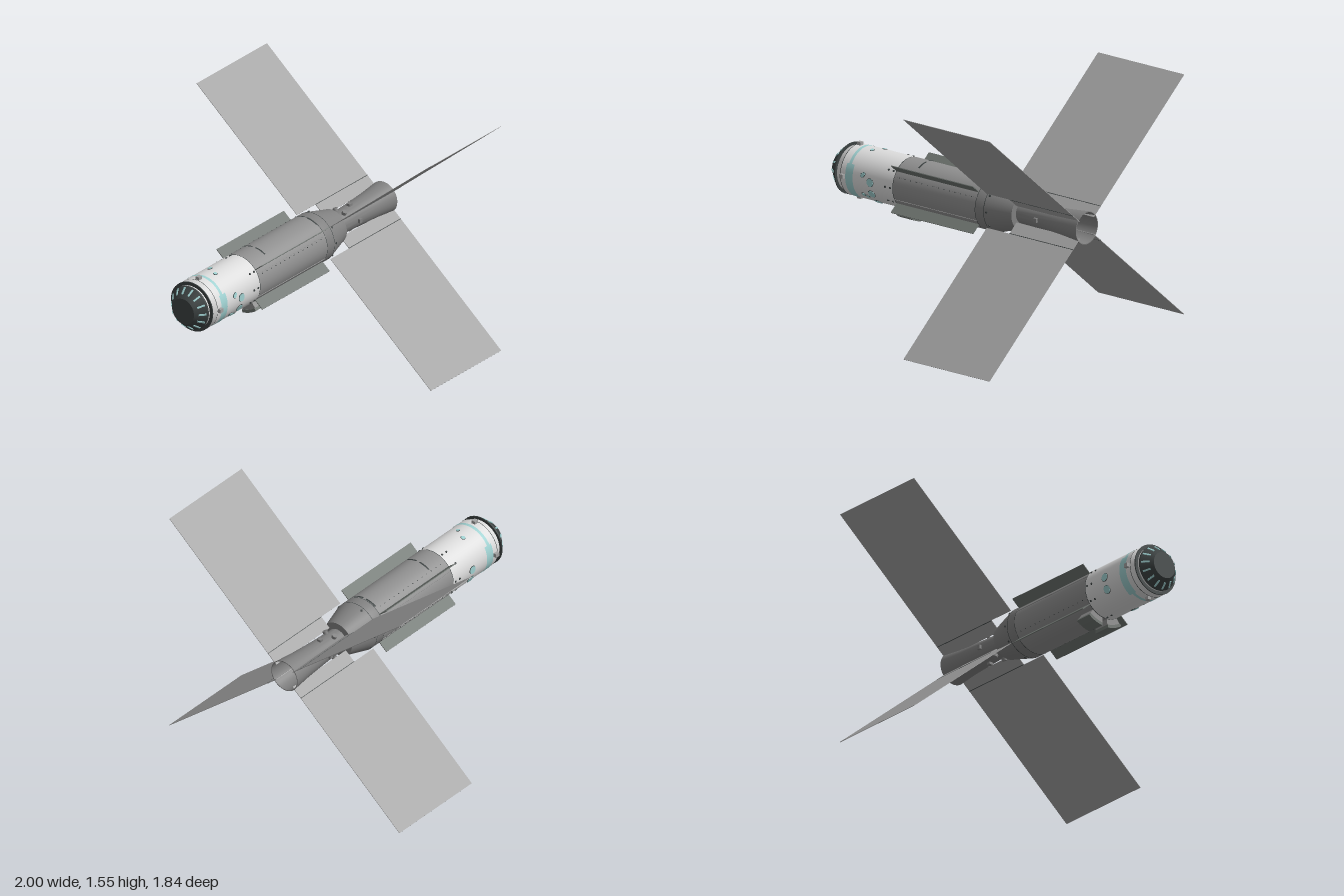
import * as THREE from 'three';
import { mergeGeometries, toCreasedNormals } from 'three/addons/utils/BufferGeometryUtils.js';

const rad = THREE.MathUtils.degToRad;
const R = 0.163;          // main hull radius
const X_ANGLES = [40.1, 139.9, 220.1, 319.9];
const CROSS = [0, 90, 180, 270];

function material(name, color, side = THREE.FrontSide) {
  const m = new THREE.MeshStandardMaterial({ color, side });
  m.name = name;
  return m;
}

// Surface of revolution around the x axis; profile is [x, radius] pairs.
function turned(profile) {
  const g = new THREE.LatheGeometry(profile.map(([x, r]) => new THREE.Vector2(r, x)), 48);
  g.rotateZ(-Math.PI / 2);
  return toCreasedNormals(g, rad(18));
}

// Curved sheet on the hull between two angles (0 = front, 90 = top).
function wrap(x0, x1, r, a0, a1) {
  const n = Math.max(3, Math.ceil((a1 - a0) / 7));
  const g = new THREE.CylinderGeometry(r, r, x1 - x0, n, 1, true, rad(-a1), rad(a1 - a0));
  g.rotateZ(-Math.PI / 2);
  return g.translate((x0 + x1) / 2, 0, 0);
}

// Radial box: from radius r0 to r1 at the given angle.
function radialBox(x0, x1, r0, r1, width, angle) {
  const g = new THREE.BoxGeometry(x1 - x0, width, r1 - r0);
  g.translate((x0 + x1) / 2, 0, (r0 + r1) / 2);
  return g.rotateX(-rad(angle));
}

// Round stud standing on the hull.
function stud(x, angle, r, radius, height, sides = 14) {
  const g = new THREE.CylinderGeometry(radius, radius, height, sides);
  g.rotateX(Math.PI / 2).translate(x, 0, r);
  return g.rotateX(-rad(angle));
}

export function createModel() {
  const white = material('white hull', 0xdcdcdc);
  const grey = material('grey hull', 0x8f8f8f);
  const tailGrey = material('tail grey', 0x808080, THREE.DoubleSide);
  const panel = material('panel grey', 0xa2a2a2);
  const strakeGrey = material('strake grey', 0x6f7571);
  const dark = material('dark trim', 0x3c4242);
  const teal = material('teal glass', 0x9fd0d0, THREE.DoubleSide);

  const model = new THREE.Group();
  model.name = 'model';
  const craft = new THREE.Group();
  craft.name = 'craft';
  craft.position.y = 0.775;
  model.add(craft);

  const add = (name, geometry, mat) => {
    const mesh = new THREE.Mesh(Array.isArray(geometry) ? mergeGeometries(geometry) : geometry, mat);
    mesh.name = name;
    craft.add(mesh);
  };

  // Hull sections
  add('noseCone', turned([[-1, 0], [-1, 0.085], [-0.985, 0.1], [-0.935, 0.143], [-0.925, 0.143]]), dark);
  add('noseRing', turned([[-0.915, 0.12], [-0.915, 0.164], [-0.908, 0.164], [-0.908, 0.12]]), dark);
  add('forwardHull', turned([[-0.93, 0.1], [-0.93, 0.136], [-0.865, R], [-0.44, R]]), white);
  add('middleHull', turned([[-0.44, R], [0.23, R]]), grey);
  add('tailCone', turned([[0.23, R], [0.31, R], [0.48, 0.115], [0.485, 0.115], [0.485, 0.07]]), tailGrey);

  // Open, flared tail tube with a disc deep inside
  add('tailTube', turned([[0.48, 0.072], [0.65, 0.078], [0.85, 0.09], [1, 0.105], [1, 0.1], [0.85, 0.085], [0.52, 0.068]]), tailGrey);
  add('tailBulkhead', turned([[0.53, 0.07], [0.53, 0]]), panel);

  // Nose windows
  const slots = [];
  for (let i = 0; i < 14; i++) {
    const g = new THREE.BoxGeometry(0.05, 0.011, 0.005);
    g.rotateY(rad(-40)).translate(-0.962, 0, 0.123).rotateX(-rad(i * 360 / 14));
    slots.push(g);
  }
  add('noseWindows', slots, teal);

  // Seams
  add('hullSeams', [-0.865, -0.44, 0.23, 0.3].map(x => wrap(x - 0.002, x + 0.002, R + 0.0008, 0, 360)), dark);

  // Teal band and side patches
  add('tealBand', [
    wrap(-0.812, -0.79, R + 0.0015, 0, 360),
    wrap(-0.825, -0.765, R + 0.002, -62, 30),
    wrap(-0.825, -0.765, R + 0.002, 150, 242),
  ], teal);

  // Round ports with dark rims
  const ports = [
    [-0.625, 0, 0.026], [-0.625, -28, 0.026], [-0.625, -60, 0.026],
    [-0.69, 12, 0.013], [-0.7, -36, 0.014], [-0.67, -40, 0.012], [-0.68, 15, 0.011],
    [-0.72, 79, 0.012], [-0.68, 105, 0.014], [-0.625, 180, 0.026], [-0.625, 208, 0.026],
  ];
  add('portRims', ports.map(([x, a, r]) => stud(x, a, R, r + 0.002, 0.004)), dark);
  add('ports', ports.map(([x, a, r]) => stud(x, a, R, r, 0.008)), teal);

  // Square lugs at the front and on the tail tube
  add('frontLugs', CROSS.map(a => radialBox(-0.86, -0.83, 0.155, 0.183, 0.026, a)), panel);
  add('tailLugs', CROSS.map(a => radialBox(0.642, 0.668, 0.07, 0.093, 0.026, a)), tailGrey);
  add('tailValves', [-115, -65, 65, 115].map(a => stud(0.56, a, 0.08, 0.016, 0.03)), tailGrey);

  // Rivets along the hull
  const rivets = [];
  for (const a of X_ANGLES) {
    for (let i = 0; i < 14; i++) {
      rivets.push(radialBox(-0.4 + i * 0.045, -0.394 + i * 0.045, R - 0.002, R + 0.002, 0.005, a - 14));
    }
  }
  for (const x of [-0.5, -0.46, 0.32]) {
    for (const a of [0, 38, 110, 142, 180, 215, 270, 325]) {
      rivets.push(stud(x, a, x > 0 ? R - 0.003 : R, 0.007, 0.008, 8));
    }
  }
  add('rivets', rivets, dark);

  // Top handrails
  add('topHandrails', [-0.295, 0.222].flatMap(x => [
    wrap(x - 0.006, x + 0.006, R + 0.004, 59, 86),
    wrap(x - 0.006, x + 0.006, R + 0.004, 94, 121),
  ]), dark);

  // Long strakes with root rails
  add('strakes', X_ANGLES.map(a => radialBox(-0.44, 0.23, 0.155, 0.236, 0.005, a)), strakeGrey);
  add('strakeRails', X_ANGLES.map((a, i) => {
    const inward = i % 2 ? 12 : -12;
    return radialBox(-0.44, 0.23, 0.158, 0.166, 0.006, a + inward);
  }), grey);

  // Large tail panels and their root strips
  add('tailPanels', X_ANGLES.map(a => radialBox(0.3, 1, 0.172, 1.202, 0.003, a)), panel);
  add('panelRoots', X_ANGLES.map(a => radialBox(0.485, 1, 0.085, 0.171, 0.004, a)), panel);
  add('panelHinges', X_ANGLES.map(a => radialBox(0.485, 1, 0.169, 0.173, 0.006, a)), dark);

  // Pair of curved pods under the hull
  const sector = (r0, r1, a0, a1, x0, x1) => {
    const s = new THREE.Shape();
    s.absarc(0, 0, r1, rad(a0), rad(a1), false);
    s.absarc(0, 0, r0, rad(a1), rad(a0), true);
    const g = new THREE.ExtrudeGeometry(s, { depth: x1 - x0, bevelEnabled: false, curveSegments: 8 });
    return g.rotateY(Math.PI / 2).translate(x0, 0, 0);
  };
  const spans = [[234, 264], [276, 306]];
  add('bellyPods', spans.map(([a, b]) => sector(0.16, 0.2, a, b, -0.435, -0.325)), grey);
  add('bellyPodCovers', spans.map(([a, b]) => sector(0.2, 0.22, a, b, -0.44, -0.32)), strakeGrey);

  return model;
}
